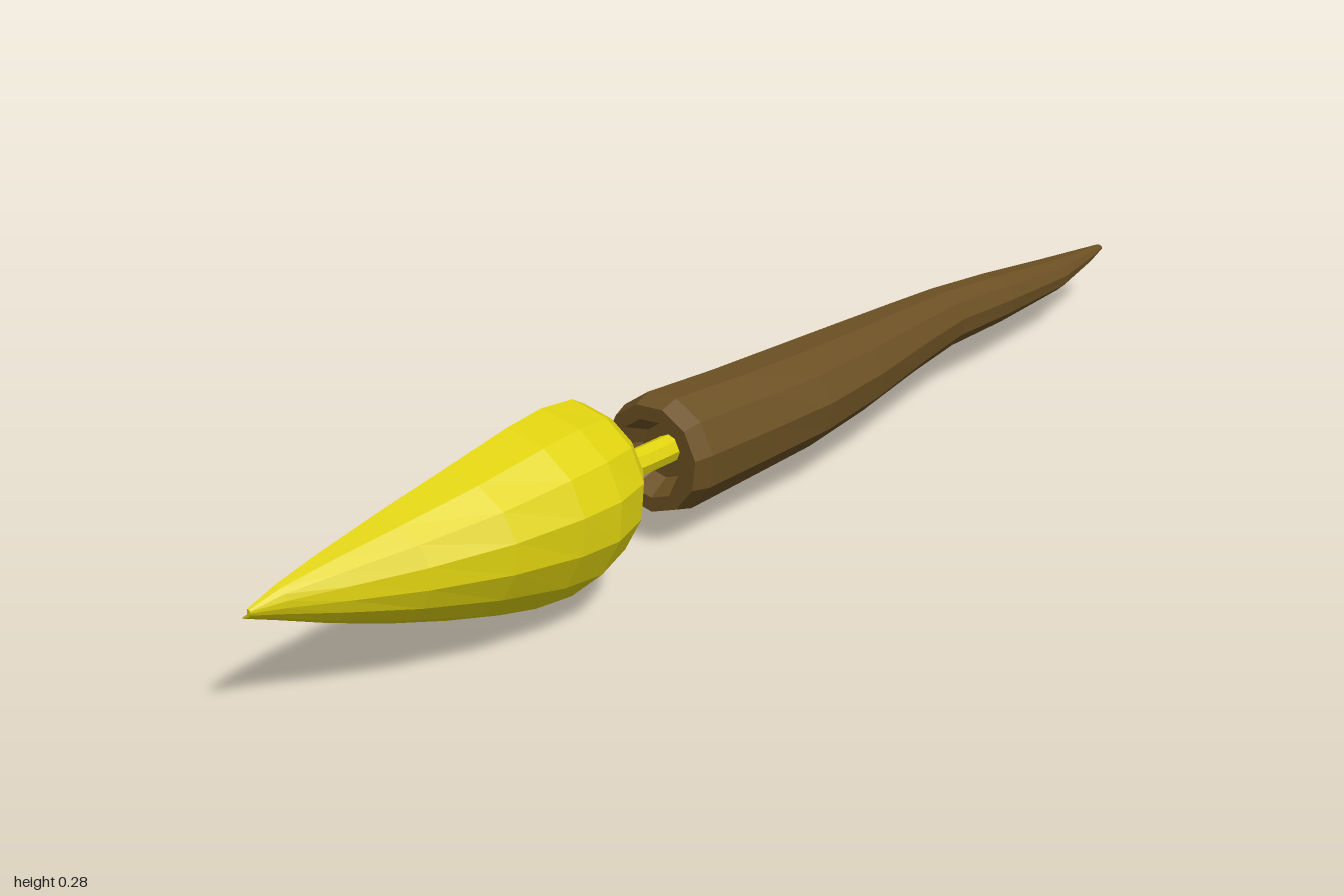
import * as THREE from 'three';

// Skin rings of [x, y, z] points (counter-clockwise seen from +z) and close both ends
function loft(rings) {
  const n = rings[0].length;
  const pos = [], idx = [];
  for (const ring of rings) for (const p of ring) pos.push(...p);
  for (let r = 0; r < rings.length - 1; r++) {
    for (let i = 0; i < n; i++) {
      const j = (i + 1) % n;
      const a = r * n + i, b = r * n + j, c = a + n, d = b + n;
      idx.push(a, b, d, a, d, c);
    }
  }
  const cap = (r, flip) => {
    const centre = [0, 1, 2].map((k) => rings[r].reduce((s, p) => s + p[k], 0) / n);
    const c = pos.length / 3;
    pos.push(...centre);
    for (let i = 0; i < n; i++) {
      const a = r * n + i, b = r * n + ((i + 1) % n);
      if (flip) idx.push(c, b, a);
      else idx.push(c, a, b);
    }
  };
  cap(0, true);
  cap(rings.length - 1, false);
  const g = new THREE.BufferGeometry();
  g.setAttribute('position', new THREE.Float32BufferAttribute(pos, 3));
  g.setIndex(idx);
  g.computeVertexNormals();
  return g;
}

// Tapered wooden handle: z, left, right, bottom, top of each section
const HANDLE = [
  [-1.0, -0.024, -0.01, 0.084, 0.094],
  [-0.94, -0.033, 0.002, 0.076, 0.102],
  [-0.8, -0.046, 0.027, 0.068, 0.122],
  [-0.6, -0.055, 0.036, 0.069, 0.15],
  [-0.45, -0.062, 0.033, 0.071, 0.166],
  [-0.32, -0.071, 0.048, 0.068, 0.177],
  [-0.15, -0.085, 0.069, 0.059, 0.19],
  [0.0, -0.095, 0.077, 0.052, 0.2],
  [0.13, -0.1, 0.069, 0.049, 0.207],
  [0.27, -0.109, 0.058, 0.044, 0.216],
];

function handleRing([z, l, r, b, t], scale = 1) {
  const sides = 11, ring = [];
  for (let i = 0; i < sides; i++) {
    const a = (i / sides) * Math.PI * 2 + 0.15;
    ring.push([
      (l + r) / 2 + Math.cos(a) * scale * (r - l) / 2 * 1.01,
      (b + t) / 2 + Math.sin(a) * scale * (t - b) / 2 * 1.01,
      z,
    ]);
  }
  return ring;
}

// Leaf-shaped scoop, open towards -x: z, upper rim x y, lower rim x y, depth
const SCOOP = [
  [0.38, -0.03, 0.16, -0.04, 0.115, 0.03],
  [0.4, -0.045, 0.205, -0.07, 0.075, 0.08],
  [0.43, -0.035, 0.25, -0.09, 0.04, 0.12],
  [0.48, -0.015, 0.276, -0.1, 0.014, 0.15],
  [0.55, -0.01, 0.287, -0.1, 0.003, 0.165],
  [0.62, -0.01, 0.283, -0.1, 0.013, 0.16],
  [0.72, -0.025, 0.26, -0.092, 0.046, 0.138],
  [0.82, -0.05, 0.23, -0.086, 0.08, 0.098],
  [0.9, -0.075, 0.2, -0.09, 0.108, 0.055],
  [0.96, -0.09, 0.178, -0.102, 0.13, 0.024],
  [1.0, -0.098, 0.16, -0.108, 0.145, 0.008],
];

function scoopRing([z, tx, ty, bx, by, depth]) {
  const steps = 8, ring = [];
  const mx = (tx + bx) / 2, my = (ty + by) / 2;
  const hx = (tx - bx) / 2, hy = (ty - by) / 2;
  const wall = Math.min(0.01, depth * 0.4);
  const point = (a, inset) => {
    const c = Math.cos(a) * (1 - inset / Math.max(hy, 0.02));
    const d = Math.sin(a) * (depth - inset);
    return [mx + hx * c + d, my + hy * c - 0.08 * d, z];
  };
  // outer wall from the lower to the upper rim, then back along the inside
  for (let i = steps; i >= 0; i--) ring.push(point((i / steps) * Math.PI, 0));
  for (let i = 0; i <= steps; i++) ring.push(point((i / steps) * Math.PI, wall));
  return ring;
}

export function createModel() {
  const group = new THREE.Group();
  const wood = new THREE.MeshStandardMaterial({ color: 0x6b5023, flatShading: true });
  wood.name = 'brown wood';
  const yellow = new THREE.MeshStandardMaterial({ color: 0xdfd20f, flatShading: true });
  yellow.name = 'yellow';

  const add = (name, geometry, material) => {
    const mesh = new THREE.Mesh(geometry, material);
    mesh.name = name;
    group.add(mesh);
  };

  // Handle with a chamfered end and a socket for the stem
  const end = HANDLE[HANDLE.length - 1];
  const at = (z) => [z, ...end.slice(1)];
  add('handle', loft([
    ...HANDLE.map((s) => handleRing(s)),
    handleRing(at(0.3), 0.9),
    handleRing(at(0.3), 0.66),
    handleRing(at(0.265), 0.45),
  ]), wood);

  // Short stem joining handle and scoop
  const path = new THREE.CatmullRomCurve3([
    new THREE.Vector3(-0.02, 0.135, 0.25),
    new THREE.Vector3(-0.021, 0.137, 0.32),
    new THREE.Vector3(-0.03, 0.138, 0.4),
  ]);
  add('stem', new THREE.TubeGeometry(path, 4, 0.02, 8), yellow);

  add('scoop', loft(SCOOP.map(scoopRing)), yellow);
  return group;
}
